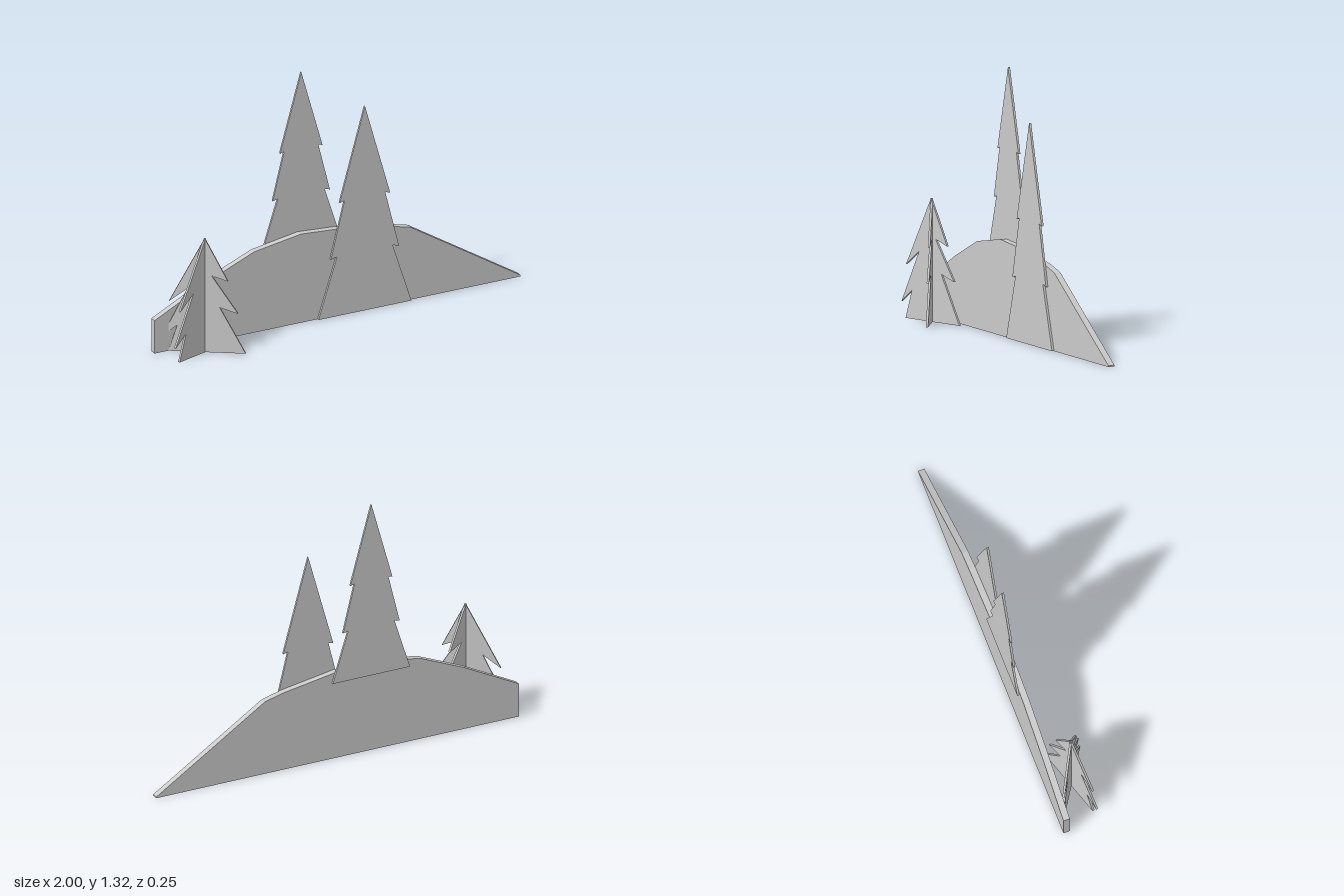
import * as THREE from 'three';

const material = new THREE.MeshStandardMaterial({ color: 0xcccccc, flatShading: true });

// Flat cut-out of an outline, its thickness centred on z
function cutout(name, points, depth) {
  const shape = new THREE.Shape(points.map(([x, y]) => new THREE.Vector2(x, y)));
  const geometry = new THREE.ExtrudeGeometry(shape, { depth, bevelEnabled: false });
  geometry.translate(0, 0, -depth / 2);
  const mesh = new THREE.Mesh(geometry, material);
  mesh.name = name;
  return mesh;
}

// Symmetric fir: half outline for a height of 1, mirrored to the other side
const firHalf = [[0.233, 0], [0.14, 0.29], [0.171, 0.282], [0.102, 0.558], [0.127, 0.55]];
function fir(name, height, x, y, z) {
  const right = firHalf.map(([px, py]) => [px * height, py * height]);
  const left = right.map(([px, py]) => [-px, py]).reverse();
  const mesh = cutout(name, [...right, [0, height], ...left], 0.011);
  mesh.position.set(x, y, z);
  return mesh;
}

export function createModel() {
  const model = new THREE.Group();
  model.name = 'forestScene';

  // Hill backdrop
  const hill = cutout('hill', [
    [-1, 0], [1, 0], [1, 0.007], [0.4, 0.385], [0.3, 0.41], [0, 0.458],
    [-0.2, 0.472], [-0.455, 0.43], [-0.7, 0.327], [-1, 0.175],
  ], 0.033);
  hill.position.z = -0.0965;
  model.add(hill);

  // Tall firs fixed to the back and the front of the hill
  model.add(fir('backFir', 0.913, -0.181, 0.404, -0.1185));
  model.add(fir('frontFir', 1.088, 0.144, 0, -0.0745));

  // Small standing fir made of two crossed plates with uneven branches
  const smallFir = new THREE.Group();
  smallFir.name = 'smallFir';
  const outline = [
    [-0.178, 0], [0.2, 0], [0.073, 0.24], [0.163, 0.21], [0.033, 0.408], [0.114, 0.38],
    [0, 0.605], [-0.174, 0.265], [-0.084, 0.335], [-0.206, 0.08], [-0.134, 0.138],
  ];
  for (const angle of [0.31, -0.57]) {
    const plate = cutout('smallFirPlate', outline, 0.011);
    plate.rotation.y = angle;
    smallFir.add(plate);
  }
  smallFir.position.set(-0.772, 0, 0.011);
  model.add(smallFir);

  return model;
}
